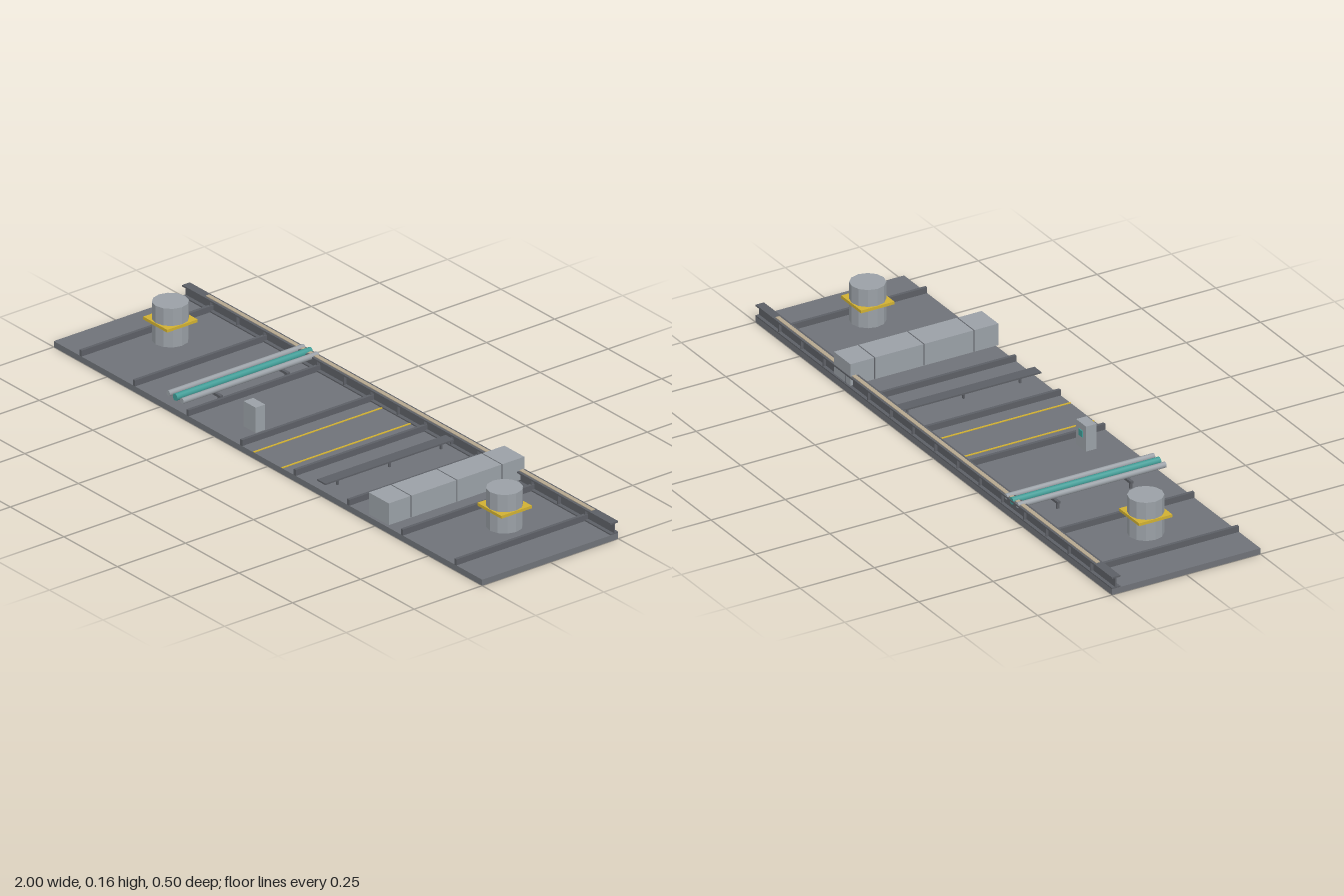
import * as THREE from 'three';

const mat = (name, color, opts = {}) => {
  const m = new THREE.MeshStandardMaterial({ color, ...opts });
  m.name = name;
  return m;
};

export function createModel() {
  const root = new THREE.Group();
  root.name = 'deckSection';

  const deck = mat('deckGrey', 0x6f7278);
  const steel = mat('beamGrey', 0x5c5f65);
  const light = mat('lightGrey', 0x9aa0a6);
  const lightFlat = light;
  const yellow = mat('safetyYellow', 0xd0b032);
  const teal = mat('pipeTeal', 0x3f9c96);
  const tan = mat('stripTan', 0xb5a78f);

  const add = (name, geo, material, x = 0, y = 0, z = 0, parent = root) => {
    const m = new THREE.Mesh(geo, material);
    m.name = name;
    m.position.set(x, y, z);
    parent.add(m);
    return m;
  };
  // Box given by its minimum and maximum on each axis
  const box = (name, material, x0, x1, y0, y1, z0, z1, parent = root) =>
    add(name, new THREE.BoxGeometry(x1 - x0, y1 - y0, z1 - z0), material,
      (x0 + x1) / 2, (y0 + y1) / 2, (z0 + z1) / 2, parent);

  // Deck plate
  box('deckPlate', deck, -1, 1, 0, 0.019, -0.25, 0.25);

  // Cross ribs
  for (let i = 0; i < 8; i++) {
    const x = -0.875 + i * 0.25;
    box('crossRib', steel, x - 0.005, x + 0.005, 0.019, 0.038, -0.235, 0.25);
  }

  // I-beam along the back edge, with stiffeners on both sides of the web
  const beam = new THREE.Group();
  beam.name = 'edgeBeam';
  root.add(beam);
  box('bottomFlange', steel, -1, 1, 0.019, 0.023, -0.25, -0.222, beam);
  box('web', steel, -1, 1, 0.023, 0.052, -0.239, -0.234, beam);
  box('topFlange', steel, -1, 1, 0.052, 0.057, -0.25, -0.222, beam);
  for (let i = 0; i < 15; i++) {
    const x = -0.875 + i * 0.125;
    box('stiffener', steel, x - 0.002, x + 0.002, 0.023, 0.052, -0.248, -0.224, beam);
  }
  box('topStrip', tan, -0.9, 0.9, 0.057, 0.059, -0.243, -0.23, beam);

  // Bollards with square collars
  const drum = new THREE.CylinderGeometry(0.054, 0.054, 0.124, 12).toNonIndexed();
  drum.computeVertexNormals();
  for (const x of [-0.773, 0.787]) {
    add('bollard', drum, lightFlat, x, 0.098, 0);
    box('bollardCollar', yellow, x - 0.056, x + 0.056, 0.096, 0.105, -0.056, 0.056);
  }

  // Sectioned duct with joint collars
  const cuts = [-0.25, -0.166, 0, 0.168, 0.25];
  for (let i = 0; i < 4; i++) {
    box('ductSection', light, 0.471, 0.564, 0.027, 0.097, cuts[i] + 0.002, cuts[i + 1] - (i < 3 ? 0.002 : 0));
    if (i > 0) box('ductJoint', steel, 0.472, 0.563, 0.028, 0.096, cuts[i] - 0.003, cuts[i] + 0.003);
  }

  // Pipe run and its brackets
  [[-0.467, light, 0.009], [-0.435, teal, 0.011], [-0.403, light, 0.009]].forEach(([x, m, r]) => {
    const g = new THREE.CylinderGeometry(r, r, 0.498, 10);
    g.rotateX(Math.PI / 2);
    add('pipe', g, m, x, 0.055, 0);
  });
  for (const z of [-0.123, 0.123]) {
    box('pipeBracket', steel, -0.49, -0.378, 0.036, 0.044, z - 0.005, z + 0.005);
    for (const x of [-0.483, -0.389])
      box('bracketLeg', steel, x - 0.003, x + 0.003, 0.019, 0.036, z - 0.004, z + 0.004);
  }

  // Control cabinet with a small display on its back
  box('controlCabinet', light, -0.22, -0.164, 0.019, 0.1, 0.131, 0.166);
  box('cabinetDisplay', teal, -0.203, -0.181, 0.058, 0.078, 0.128, 0.131);

  // Cable tray on short posts
  box('cableTray', steel, 0.23, 0.268, 0.042, 0.047, -0.222, 0.25);
  for (const z of [-0.19, 0, 0.19])
    box('trayPost', steel, 0.246, 0.252, 0.019, 0.042, z - 0.003, z + 0.003);

  // Painted walkway lines
  for (const x of [-0.067, 0.065])
    box('walkwayLine', yellow, x - 0.003, x + 0.003, 0.019, 0.021, -0.222, 0.25);

  return root;
}
